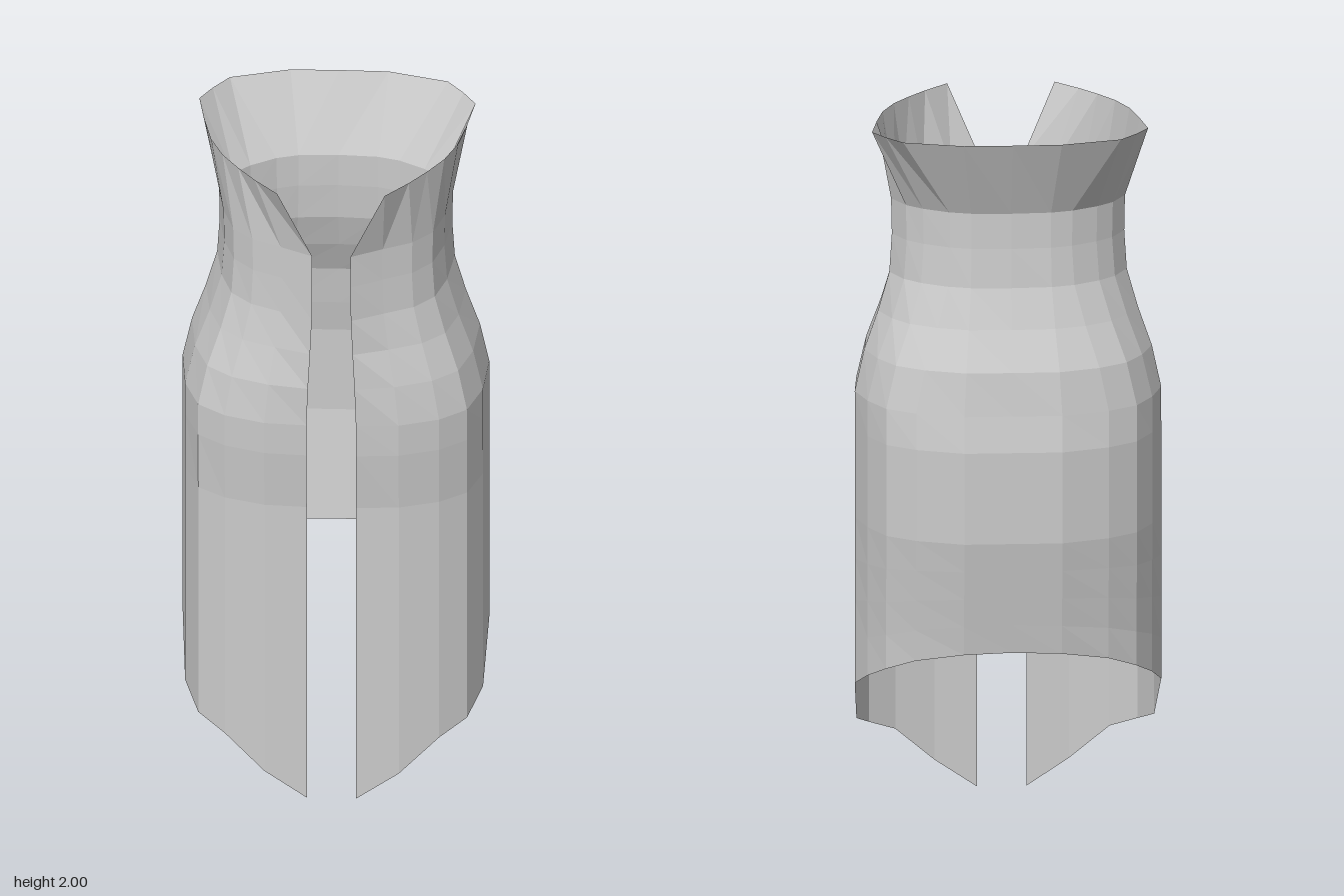
import * as THREE from 'three';

// Half cross-sections [x, z], from the front opening round to the middle of the back
const RIM = [[.148, .333], [.212, .265], [.26, .205], [.305, .14], [.34, .06], [.362, -.04],
  [.38, -.145], [.345, -.2], [.3, -.255], [.135, -.3], [0, -.302]];
const NECK = [[.053, .305], [.14, .262], [.22, .225], [.275, .17], [.305, .08], [.322, -.04],
  [.285, -.11], [.24, -.15], [.17, -.19], [.11, -.207], [0, -.213]];
const HIP = [[.068, .29], [.185, .283], [.295, .25], [.37, .2], [.41, .1], [.422, -.04],
  [.392, -.145], [.345, -.235], [.265, -.29], [.135, -.335], [0, -.335]];
// Height of the hem under each column, low in front and high behind
const HEM = [0, .08, .18, .215, .255, .395, .44, .48, .515, .54, .545];

// Torso levels: [y, blend from neck to hip, front depth scale, back depth scale]
const LEVELS = [[1.78, 0, 1, 1], [1.68, -.02, 1, 1.02], [1.57, .05, 1, 1.02], [1.46, .36, 1.02, 1],
  [1.35, .74, 1.06, 1], [1.23, 1, 1.07, .95], [1.13, 1, 1.06, 1], [.95, 1, 1, 1], [.87, 1, 1, 1]];
const SKIRT_ROWS = 4;
const { lerp, clamp } = THREE.MathUtils;

// Turns a half row into a full one, from the left front edge round to the right
function mirrorRow(half) {
  const other = half.slice(0, -1).reverse().map(([x, y, z]) => [-x, y, z]);
  return [...half, ...other].map(([x, y, z]) => [x - .008, y, z]);
}

function coatGeometry() {
  const rows = [mirrorRow(RIM.map(([x, z]) => [x, 2, z]))];
  for (const [y, t, front, back] of LEVELS) {
    rows.push(mirrorRow(HIP.map(([hx, hz], j) => {
      const z = lerp(NECK[j][1], hz, t);
      return [lerp(NECK[j][0], hx, t), y, z * (z > 0 ? front : back)];
    })));
  }
  // Skirt: straight columns in front, tucked in below the seat
  for (let r = 1; r <= SKIRT_ROWS; r++) {
    rows.push(mirrorRow(HIP.map(([x, z], j) => {
      const y = lerp(.87, HEM[j], r / SKIRT_ROWS);
      const tuck = z < -.1 ? clamp((.87 - y) / .325, 0, 1) * .15 : 0;
      return [x, y, z * (1 - tuck)];
    })));
  }

  const n = rows[0].length, index = [];
  for (let i = 0; i < rows.length - 1; i++) {
    for (let j = 0; j < n - 1; j++) {
      const a = i * n + j, b = a + n;
      index.push(a, b, b + 1, a, b + 1, a + 1);
    }
  }
  const geometry = new THREE.BufferGeometry();
  geometry.setAttribute('position', new THREE.Float32BufferAttribute(rows.flat(2), 3));
  geometry.setIndex(index);
  const flat = geometry.toNonIndexed();
  flat.computeVertexNormals();
  return flat;
}

export function createModel() {
  const group = new THREE.Group();
  group.name = 'openSleevelessCoat';
  const material = new THREE.MeshStandardMaterial({
    color: 0xcccccc, flatShading: true, side: THREE.DoubleSide,
  });
  const coat = new THREE.Mesh(coatGeometry(), material);
  coat.name = 'coatShell';
  group.add(coat);
  return group;
}
